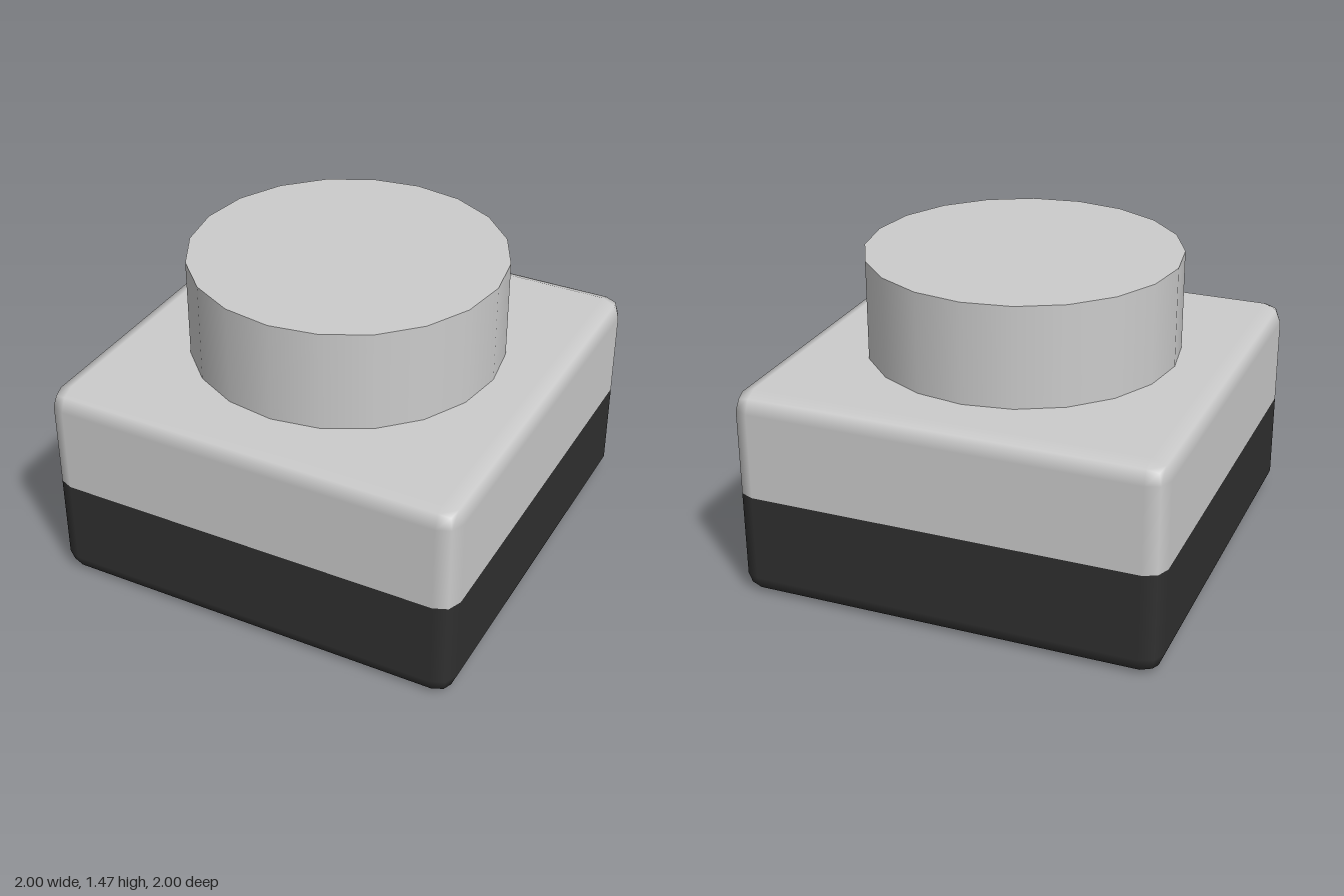
import * as THREE from 'three';
import { RoundedBoxGeometry } from 'three/addons/geometries/RoundedBoxGeometry.js';

const SPLIT = 0.5; // height where the two colours meet

// One half of the bevelled block: flatten the other half onto the split plane, then drop the flat faces
function halfBlock(upper) {
  const source = new RoundedBoxGeometry(2, 1, 2, 1, 0.09).translate(0, 0.5, 0);
  const pos = source.attributes.position;
  const nor = source.attributes.normal;
  const positions = [];
  const normals = [];
  const clamp = upper ? Math.max : Math.min;
  for (let i = 0; i < pos.count; i += 3) {
    const corners = [i, i + 1, i + 2];
    const heights = corners.map((c) => clamp(pos.getY(c), SPLIT));
    if (heights.every((y) => y === SPLIT)) continue;
    corners.forEach((c, k) => {
      positions.push(pos.getX(c), heights[k], pos.getZ(c));
      normals.push(nor.getX(c), nor.getY(c), nor.getZ(c));
    });
  }
  const geometry = new THREE.BufferGeometry();
  geometry.setAttribute('position', new THREE.Float32BufferAttribute(positions, 3));
  geometry.setAttribute('normal', new THREE.Float32BufferAttribute(normals, 3));
  return geometry;
}

export function createModel() {
  const group = new THREE.Group();
  const grey = new THREE.MeshStandardMaterial({ color: 0xcccccc });
  const dark = new THREE.MeshStandardMaterial({ color: 0x303030 });

  const add = (name, geometry, material) => {
    const mesh = new THREE.Mesh(geometry, material);
    mesh.name = name;
    group.add(mesh);
  };

  // Square block in two colours
  add('lowerBlock', halfBlock(false), dark);
  add('upperBlock', halfBlock(true), grey);

  // Round button on top
  add('button', new THREE.CylinderGeometry(0.73, 0.73, 0.47, 20).translate(0, 1.235, 0), grey);

  return group;
}
